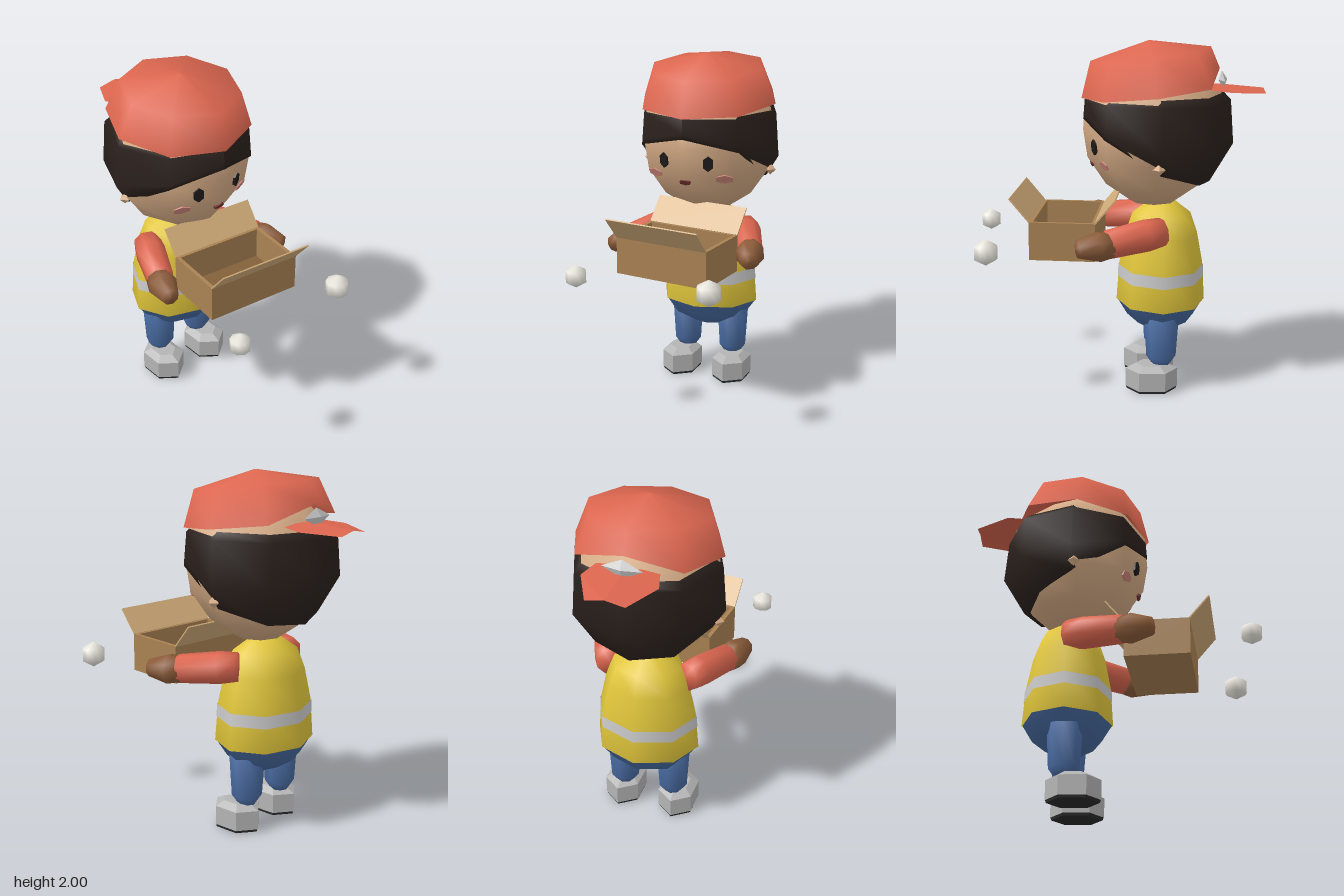
import * as THREE from 'three';

const C = {
  skin: 0xd6ac86, hair: 0x2a201c, red: 0xdb664f, yellow: 0xe2c73c, stripe: 0xdcdcdc,
  denim: 0x47699f, shoe: 0xb4b4b4, sole: 0x2a2a2a, hand: 0x8c5c3a, card: 0xa98253,
  flap: 0xd0ab78, floor: 0x83603a, eye: 0x1d1a1a, cheek: 0xc98377, mouth: 0x6e2f2a, ball: 0xe9e6dd,
};

function mesh(name, geometry, color, parent, flat = false) {
  const material = new THREE.MeshStandardMaterial({ color, flatShading: flat, side: THREE.DoubleSide });
  const m = new THREE.Mesh(geometry, material);
  m.name = name;
  parent.add(m);
  return m;
}

function group(name, parent) {
  const g = new THREE.Group();
  g.name = name;
  parent.add(g);
  return g;
}

// Faceted round form from [radius, height] pairs, bottom to top
const lathe = (pts, sides = 8) =>
  new THREE.LatheGeometry(pts.map(([r, y]) => new THREE.Vector2(r, y)), sides);

// Lathe aimed from one point to another
function limb(name, pts, from, to, color, parent) {
  const a = new THREE.Vector3(...from), dir = new THREE.Vector3(...to).sub(a);
  const len = dir.length();
  const m = mesh(name, lathe(pts.map(([r, t]) => [r, t * len])), color, parent);
  m.position.copy(a);
  m.quaternion.setFromUnitVectors(new THREE.Vector3(0, 1, 0), dir.normalize());
  return m;
}

// Hair shell: eight columns, each with its own lower hairline
function hairGeometry() {
  const line = [1.56, 1.485, 1.3, 1.22, 1.2, 1.22, 1.3, 1.485, 1.56];
  const radius = y => (y > 1.42
    ? THREE.MathUtils.mapLinear(y, 1.42, 1.7, 0.43, 0.408)
    : THREE.MathUtils.mapLinear(y, 1.2, 1.42, 0.3, 0.43));
  const geo = lathe([[1, 0], [1, 1], [1, 2], [1, 3], [1, 4]]);
  const p = geo.attributes.position;
  for (let i = 0; i <= 8; i++) {
    const yb = line[i], mid = Math.max(1.42, yb + 0.03), a = i * Math.PI / 4;
    const rows = [
      [radius(yb) - 0.05, yb + 0.01], [radius(yb), yb], [radius(mid), mid],
      [radius(1.67), 1.67], [0.37, 1.71],
    ];
    rows.forEach(([r, y], j) => p.setXYZ(i * 5 + j, Math.sin(a) * r, y, Math.cos(a) * r));
  }
  geo.computeVertexNormals();
  return geo;
}

// Thin six-sided face patch lying on the head
function patch(name, w, h, pos, yaw, pitch, color, parent) {
  const g = new THREE.CylinderGeometry(1, 1, 0.02, 6).rotateX(Math.PI / 2);
  g.scale(w / 2, h / 2, 1);
  const m = mesh(name, g, color, parent, true);
  m.rotation.set(pitch, yaw, 0, 'YXZ');
  m.position.set(...pos);
}

function buildHead(parent) {
  const head = group('head', parent);
  head.position.z = 0.05;
  mesh('face', lathe([[0, 1.08], [0.13, 1.09], [0.27, 1.185], [0.375, 1.34], [0.4, 1.5],
    [0.385, 1.7], [0.22, 1.85], [0, 1.89]]), C.skin, head);
  mesh('hair', hairGeometry(), C.hair, head).position.z = -0.02;

  for (const s of [-1, 1]) {
    patch('eye', 0.065, 0.09, [s * 0.134, 1.42, 0.334], s * Math.PI / 8, 0.1, C.eye, head);
    patch('cheek', 0.11, 0.055, [s * 0.212, 1.33, 0.278], s * Math.PI / 8, 0.4, C.cheek, head);
    const ear = mesh('ear', new THREE.OctahedronGeometry(0.035), C.skin, head, true);
    ear.position.set(s * 0.385, 1.34, -0.01);
  }
  patch('mouth', 0.07, 0.035, [0, 1.305, 0.345], 0, 0.5, C.mouth, head);

  // Cap worn backwards, tipped toward the forehead
  const cap = group('cap', head);
  cap.position.y = 1.725;
  cap.rotation.x = 0.12;
  const crown = lathe([[0.412, 0], [0.338, 0.2], [0, 0.276]]);
  crown.attributes.position.setXYZ(4 * 3, 0, 0.075, -0.375); // notch at the back
  mesh('capCrown', crown, C.red, cap);
  const strap = mesh('capStrap', new THREE.OctahedronGeometry(1), C.stripe, cap, true);
  strap.scale.set(0.11, 0.05, 0.025);
  strap.position.set(0, 0.01, -0.385);

  // Brim: two halves folded along the middle
  const v = [
    [0, 1.755, -0.3], [0, 1.75, -0.42], [0, 1.735, -0.61],
    [-0.17, 1.74, -0.3], [-0.205, 1.73, -0.417], [-0.105, 1.715, -0.61],
    [0.17, 1.74, -0.3], [0.205, 1.73, -0.417], [0.105, 1.715, -0.61],
  ];
  const brim = new THREE.BufferGeometry();
  brim.setAttribute('position', new THREE.Float32BufferAttribute(v.flat(), 3));
  brim.setIndex([0, 1, 3, 1, 4, 3, 1, 2, 4, 2, 5, 4, 0, 6, 1, 1, 6, 7, 1, 7, 2, 2, 7, 8]);
  brim.computeVertexNormals();
  mesh('capBrim', brim, C.red, head, true);
}

function buildBody(parent) {
  const body = group('body', parent);
  // Torso and hips are wider than deep
  const trunk = group('trunk', body);
  trunk.scale.set(1.08, 1, 0.92);
  mesh('vest', lathe([[0.23, 0.5], [0.278, 0.5], [0.262, 0.72], [0.225, 0.9], [0.18, 1.02],
    [0.06, 1.105], [0, 1.11]]), C.yellow, trunk);
  mesh('vestStripe', lathe([[0.271, 0.64], [0.267, 0.71]]), C.stripe, trunk);
  mesh('hips', lathe([[0, 0.335], [0.1, 0.34], [0.21, 0.405], [0.272, 0.5]]), C.denim, trunk);

  for (const s of [-1, 1]) {
    const leg = mesh('leg', lathe([[0, 0.13], [0.05, 0.15], [0.085, 0.2], [0.1, 0.44], [0, 0.46]]), C.denim, body);
    leg.position.x = s * 0.148;

    // Six-sided shoe on a dark sole
    const shoe = group('shoe', body);
    shoe.position.set(s * 0.165, 0, 0.055);
    shoe.scale.set(0.115, 1, 0.15);
    mesh('shoeUpper', lathe([[1, 0.02], [1, 0.13], [0.6, 0.16], [0, 0.16]], 6), C.shoe, shoe, true);
    mesh('shoeSole', lathe([[0, 0], [0.95, 0.005], [0.98, 0.021]], 6), C.sole, shoe, true);

    limb('sleeve', [[0, 0], [0.08, 0.02], [0.09, 0.3], [0.08, 0.95], [0, 1]],
      [s * 0.22, 0.96, 0], [s * 0.37, 0.92, 0.33], C.red, body);
    limb('hand', [[0, 0], [0.07, 0.05], [0.085, 0.4], [0.05, 0.95], [0, 1]],
      [s * 0.36, 0.92, 0.28], [s * 0.425, 0.91, 0.49], C.hand, body);
  }
}

function buildBox(parent) {
  const box = group('cardboardBox', parent);
  box.position.set(0.1, 0.81, 0.085);
  box.rotation.y = 0.675;
  const W = 0.575, D = 0.37, H = 0.215, T = 0.022;
  const panel = (name, w, h, d, x, y, z, color) => {
    const m = mesh(name, new THREE.BoxGeometry(w, h, d), color, box, true);
    m.position.set(x, y, z);
    return m;
  };
  panel('boxBottom', W, T, D, 0, T / 2, 0, C.card);
  panel('boxFloor', W - 2 * T, 0.005, D - 2 * T, 0, T + 0.003, 0, C.floor);
  for (const s of [-1, 1]) {
    panel('boxLongWall', W, H, T, 0, H / 2, s * (D - T) / 2, C.card);
    panel('boxEndWall', T, H, D - 2 * T, s * (W - T) / 2, H / 2, 0, C.card);
    // Open flap leaning outward
    const flap = panel('boxFlap', W, 0.172, 0.008, 0, H + 0.065, s * (D / 2 + 0.053), C.flap);
    flap.rotation.x = s * Math.atan2(0.11, 0.13);
  }
}

export function createModel() {
  const model = new THREE.Group();
  model.name = 'boxCarrier';

  const figure = group('figure', model);
  figure.position.set(-0.285, 0, -0.285);
  figure.rotation.y = Math.PI / 4;
  buildHead(figure);
  buildBody(figure);
  buildBox(model);

  // Floating balls
  for (const [x, z, r] of [[0.68, 0.135, 0.075], [0.165, 0.7, 0.065]]) {
    mesh('ball', new THREE.SphereGeometry(r, 9, 3), C.ball, model).position.set(x, 0.885, z);
  }
  return model;
}
